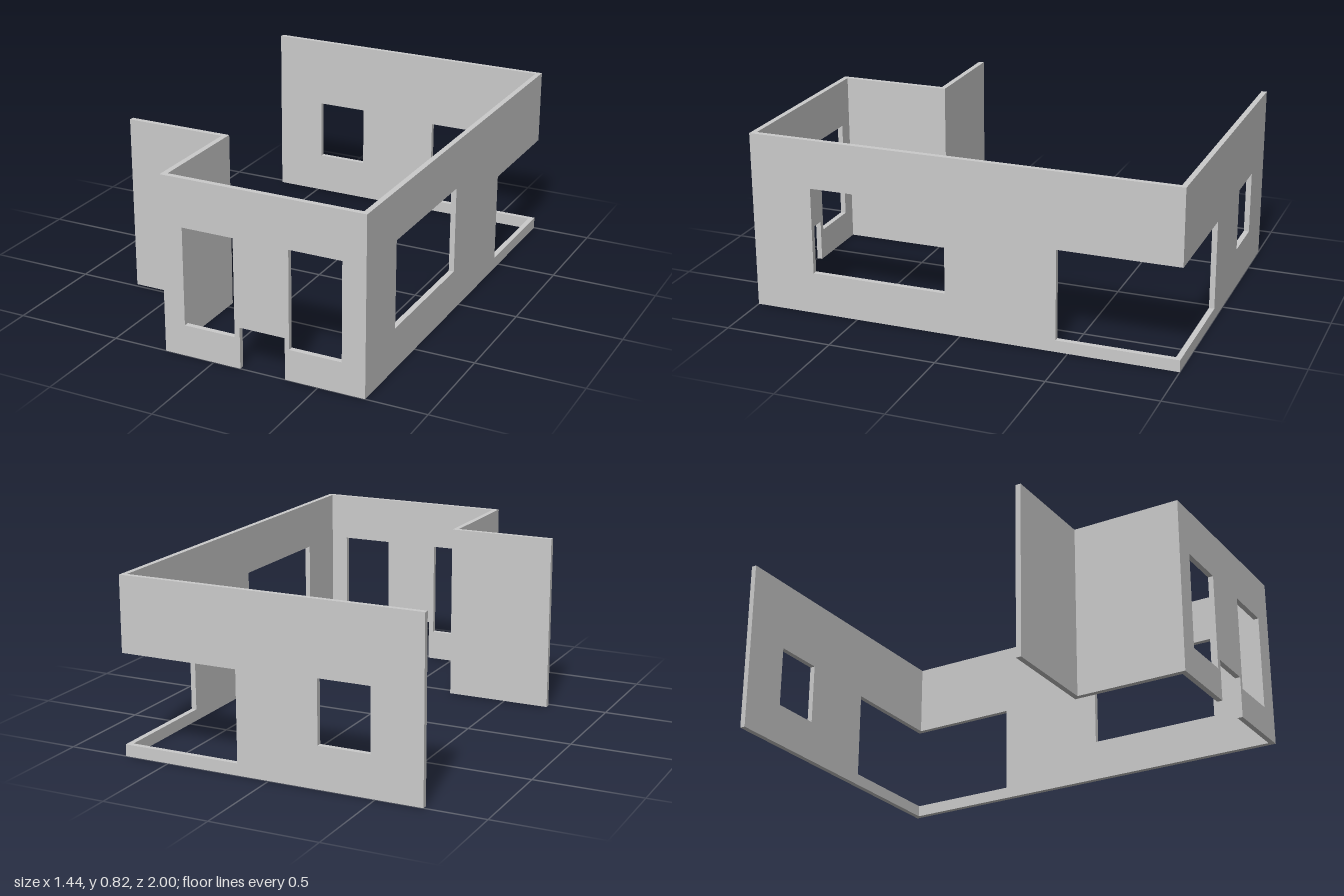
import * as THREE from 'three';

const X = 0.718, Z = 1, H = 0.825, T = 0.025; // half width, half depth, height, wall thickness
const IN = Z - T;
const SILL = 0.055, HEAD = 0.475;             // corner opening

const material = new THREE.MeshStandardMaterial({ color: 0xcccccc });

const rect = (u0, u1, y0, y1) => [[u0, y0], [u1, y0], [u1, y1], [u0, y1]];
const toPoints = (pts) => pts.map(([u, y]) => new THREE.Vector2(u, y));

// Upright slab with an outline in (distance along the wall, height) and cut-out windows
function wall(name, outline, windows = []) {
  const shape = new THREE.Shape(toPoints(outline));
  for (const w of windows) shape.holes.push(new THREE.Path(toPoints(rect(...w))));
  const geometry = new THREE.ExtrudeGeometry(shape, { depth: T, bevelEnabled: false });
  const mesh = new THREE.Mesh(geometry, material);
  mesh.name = name;
  return mesh;
}

// Wall running along x, its back face at z
function alongX(z, ...args) {
  const mesh = wall(...args);
  mesh.position.z = z;
  return mesh;
}

// Wall running along z, its +x face at x
function alongZ(x, ...args) {
  const mesh = wall(...args);
  mesh.rotation.y = -Math.PI / 2;
  mesh.position.x = x;
  return mesh;
}

export function createModel() {
  const group = new THREE.Group();
  group.name = 'houseWalls';
  const stepX = -0.24, stepZ = 0.457;

  group.add(
    // Back wall, open at the corner, with one small window
    alongX(-Z, 'backWall', [
      [-X, 0], [X, 0], [X, SILL], [0.152, SILL], [0.152, HEAD], [X, HEAD], [X, H], [-X, H],
    ], [[-0.48, -0.235, 0.195, 0.488]]),

    // Long side wall, sharing the corner opening, with a wide window
    alongZ(X, 'longSideWall', [
      [-IN, 0], [IN, 0], [IN, H], [-IN, H], [-IN, HEAD], [-0.445, HEAD], [-0.445, SILL], [-IN, SILL],
    ], [[0.07, 0.71, 0.195, 0.6]]),

    // Front wall with a low notch and two tall windows
    alongX(IN, 'frontWall', [
      [stepX, 0], [0.13, 0], [0.13, 0.195], [0.345, 0.195], [0.345, 0], [X, 0], [X, H], [stepX, H],
    ], [[-0.14, 0.105, 0.145, 0.602], [0.365, 0.61, 0.145, 0.602]]),

    // Stepped return at the front
    alongZ(stepX + T, 'returnWall', rect(stepZ, IN, 0, H)),
    alongX(stepZ, 'recessedFrontWall', rect(-X, stepX, 0, H)),
  );
  return group;
}
